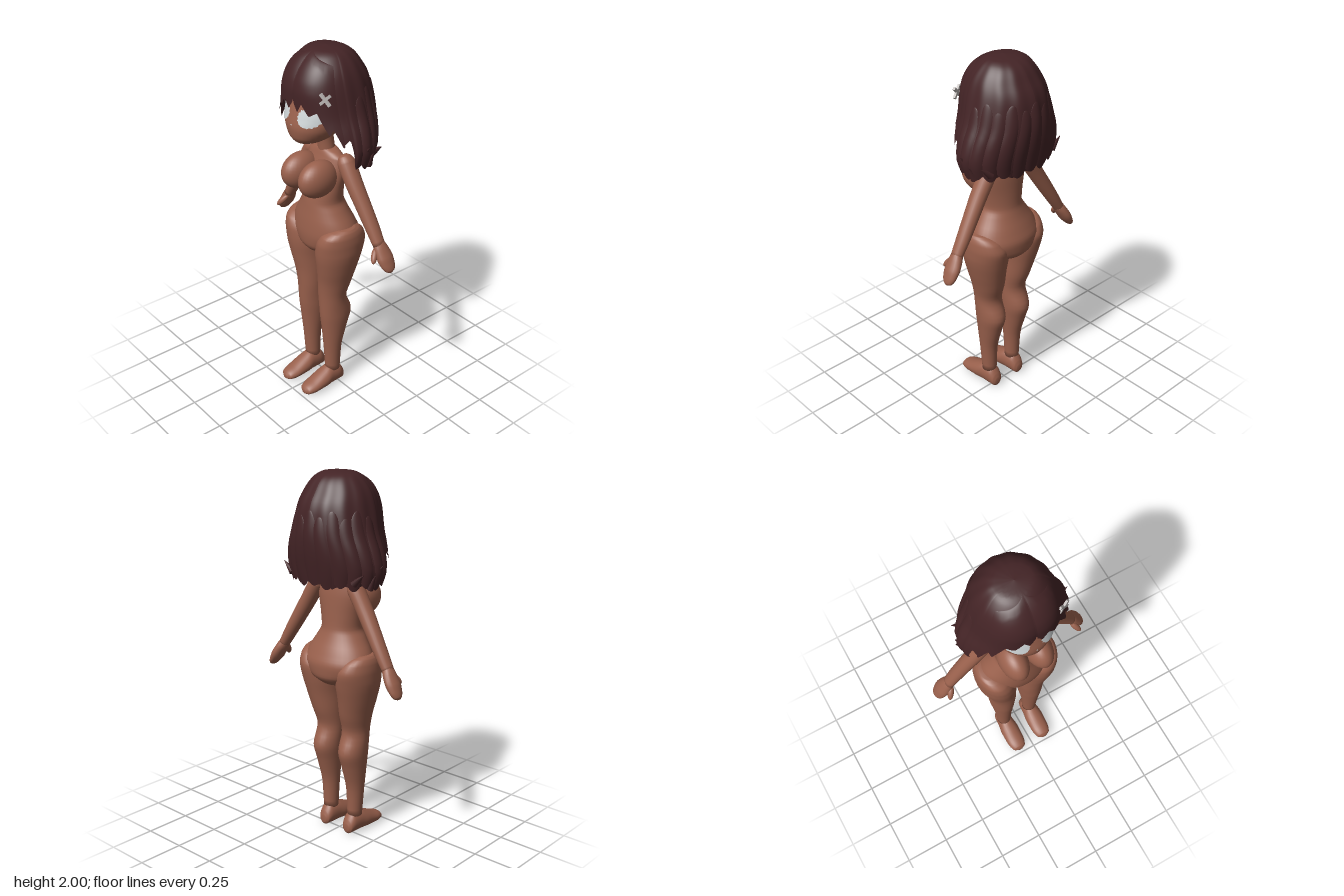
import * as THREE from 'three';

const mat = (name, color, side = THREE.FrontSide) => {
  const m = new THREE.MeshStandardMaterial({ color, side });
  m.name = name;
  return m;
};
const skin = mat('skin', 0x99604c);
const hair = mat('hair', 0x442426, THREE.DoubleSide);
const white = mat('eye white', 0xd0d6d8, THREE.DoubleSide);
const metal = mat('clip grey', 0xb9b4b2);

// Smooth monotone interpolation of descending sections [y, centreX, radiusX, zFront, zBack]
function sample(S, y) {
  let i = 0;
  while (i < S.length - 2 && y < S[i + 1][0]) i++;
  const h = S[i + 1][0] - S[i][0];
  const f = THREE.MathUtils.clamp((y - S[i][0]) / h, 0, 1);
  const slope = (j, k) => (S[j + 1][k] - S[j][k]) / (S[j + 1][0] - S[j][0]);
  const tangent = (j, k) => {
    if (j === 0) return slope(0, k);
    if (j === S.length - 1) return slope(j - 1, k);
    const a = slope(j - 1, k), b = slope(j, k);
    return a * b <= 0 ? 0 : 2 * a * b / (a + b);
  };
  return [0, 1, 2, 3, 4].map(k => k === 0 ? y :
    (1 + 2 * f) * (1 - f) ** 2 * S[i][k] + f * (1 - f) ** 2 * h * tangent(i, k) +
    f * f * (3 - 2 * f) * S[i + 1][k] + f * f * (f - 1) * h * tangent(i + 1, k));
}

function point([y, cx, rx, zf, zb], a, grow = 0) {
  return [cx + (rx + grow) * Math.sin(a), y, (zf + zb) / 2 + ((zf - zb) / 2 + grow) * Math.cos(a)];
}

function build(pos, idx) {
  const g = new THREE.BufferGeometry();
  g.setAttribute('position', new THREE.Float32BufferAttribute(pos, 3));
  g.setIndex(idx);
  g.computeVertexNormals();
  return g;
}

// Closed body from stacked ellipses
function loft(S, n = 28, sub = 4) {
  const ys = [], pos = [], idx = [];
  for (let i = 0; i < S.length - 1; i++)
    for (let k = 0; k < sub; k++) ys.push(S[i][0] + (S[i + 1][0] - S[i][0]) * k / sub);
  ys.push(S[S.length - 1][0]);
  ys.forEach((y, i) => {
    const s = sample(S, y);
    for (let j = 0; j < n; j++) {
      pos.push(...point(s, j / n * Math.PI * 2));
      if (i === ys.length - 1) continue;
      const a = i * n + j, b = i * n + (j + 1) % n;
      idx.push(a, a + n, b + n, a, b + n, b);
    }
  });
  const top = ys.length * n, last = top - n;
  for (const s of [S[0], S[S.length - 1]]) pos.push(s[1], s[0], (s[3] + s[4]) / 2);
  for (let j = 0; j < n; j++) {
    const k = (j + 1) % n;
    idx.push(top, j, k, top + 1, last + k, last + j);
  }
  return build(pos, idx);
}

const HAIR = [
  [2.0, 0, 0, 0, 0], [1.99, 0, .09, .075, -.08], [1.96, 0, .135, .125, -.135],
  [1.9, 0, .178, .175, -.18], [1.85, 0, .198, .198, -.21], [1.8, 0, .212, .207, -.225],
  [1.7, 0, .237, .205, -.235], [1.6, 0, .275, .2, -.226], [1.52, 0, .29, .19, -.21],
  [1.45, 0, .272, .17, -.195], [1.4, 0, .25, .15, -.18]];

// Sheet on the hair surface between two angles (degrees), from topY(angle) to hemY(angle)
function hairSheet(a0, a1, topY, hemY, grow, cols, rows = 24) {
  const pos = [], idx = [], w = cols + 1;
  for (let i = 0; i <= rows; i++) for (let j = 0; j <= cols; j++) {
    const d = a0 + (a1 - a0) * j / cols, v = i / rows;
    const y = topY(d) + (hemY(d) - topY(d)) * v * v;
    pos.push(...point(sample(HAIR, y), d * Math.PI / 180, grow(d, v)));
    if (i < rows && j < cols) {
      const a = i * w + j;
      idx.push(a, a + w, a + w + 1, a, a + w + 1, a + 1);
    }
  }
  return build(pos, idx);
}

// Piecewise hem height over the angle from the front
const HEM = [[0, 1.77], [8, 1.72], [16, 1.77], [25, 1.715], [36, 1.74], [46, 1.63], [52, 1.66],
  [60, 1.57], [70, 1.6], [76, 1.43], [180, 1.425]];
function hem(d) {
  const a = Math.min(Math.abs(d), 179.99);
  const i = HEM.findIndex(p => p[0] > a) - 1;
  const [p, q] = [HEM[i], HEM[i + 1]];
  const y = p[1] + (q[1] - p[1]) * (a - p[0]) / (q[0] - p[0]);
  return a > 76 ? y + .02 * Math.abs(Math.sin(a * Math.PI / 26)) : y;
}

const HEAD = [
  [1.96, 0, .03, .03, -.03], [1.93, 0, .11, .1, -.1], [1.85, 0, .165, .165, -.14],
  [1.75, 0, .178, .188, -.15], [1.68, 0, .17, .207, -.12], [1.62, 0, .15, .22, -.08],
  [1.57, 0, .115, .213, -.04], [1.535, 0, .07, .19, .01], [1.515, 0, .025, .14, .06]];
const faceZ = (x, y) => {
  const [, , rx, zf, zb] = sample(HEAD, y);
  return (zf + zb) / 2 + (zf - zb) / 2 * Math.sqrt(Math.max(0, 1 - (x / rx) ** 2));
};

// Thin disc that follows the face
function faceDisc(x0, y0, rx, ry, lift, jag = 0) {
  const g = new THREE.RingGeometry(.001, 1, 32, 5), p = g.attributes.position;
  for (let i = 0; i < p.count; i++) {
    const k = 1 + jag * (i % 2) * Math.hypot(p.getX(i), p.getY(i));
    const x = x0 + p.getX(i) * rx * k, y = y0 + p.getY(i) * ry * k;
    p.setXYZ(i, x, y, faceZ(x, y) + lift);
  }
  g.computeVertexNormals();
  return g;
}

export function createModel() {
  const model = new THREE.Group();
  const add = (name, geo, material = skin, parent = model) => {
    const m = new THREE.Mesh(geo, material);
    m.name = name;
    parent.add(m);
    return m;
  };
  const ball = () => new THREE.SphereGeometry(1, 28, 20);

  // Head, neck and torso
  add('head', loft(HEAD, 40));
  add('neck', loft([[1.57, 0, .045, .06, -.03], [1.5, 0, .043, .045, -.038], [1.42, 0, .05, .04, -.05]]));
  add('torso', loft([
    [1.46, 0, .045, .035, -.045], [1.445, 0, .09, .042, -.052], [1.42, 0, .125, .05, -.06],
    [1.35, 0, .135, .075, -.07], [1.25, 0, .123, .11, -.075], [1.18, 0, .116, .125, -.08],
    [1.13, 0, .142, .132, -.095], [1.05, 0, .192, .143, -.13], [.99, 0, .212, .147, -.15],
    [.93, 0, .18, .142, -.145], [.88, 0, .09, .11, -.1], [.855, 0, .02, .04, -.03]], 40));

  for (const s of [1, -1]) {
    const side = s > 0 ? 'left' : 'right';
    const chest = add(side + 'Chest', ball());
    chest.scale.set(.073, .1, .118);
    chest.position.set(s * .07, 1.33, .11);

    // Leg and foot
    const leg = add(side + 'Leg', loft([
      [1.055, .175, .035, .06, -.04], [1.04, .163, .06, .105, -.08], [1.01, .147, .085, .14, -.115],
      [.96, .131, .104, .152, -.135], [.9, .122, .11, .15, -.125], [.8, .112, .098, .135, -.1],
      [.7, .098, .085, .118, -.075], [.6, .09, .074, .11, -.047], [.49, .091, .072, .105, -.085],
      [.4, .091, .063, .095, -.06], [.25, .09, .048, .08, -.022], [.1, .088, .04, .07, -.015]]));
    leg.position.x = s > 0 ? 0 : -.2;
    // Mirrored parts keep their winding because each section is symmetric
    if (s < 0) {
      const p = leg.geometry.attributes.position;
      const old = Array.from(p.array), n = 28;
      leg.position.x = 0;
      for (let i = 0; i < p.count; i++) {
        const row = Math.floor(i / n) * n;
        const src = i >= p.count - 2 ? i : row + (n - (i - row)) % n;
        p.setXYZ(i, -old[src * 3], old[src * 3 + 1], old[src * 3 + 2]);
      }
      leg.geometry.computeVertexNormals();
    }
    const foot = loft([
      [.235, 0, .015, -.012, -.035], [.22, 0, .04, -.004, -.053], [.17, 0, .053, 0, -.073],
      [.1, 0, .055, 0, -.105], [.05, 0, .048, 0, -.124], [0, 0, .044, 0, -.12],
      [-.03, 0, .035, 0, -.085], [-.042, 0, .018, -.015, -.055]]);
    foot.rotateX(Math.PI / 2);
    add(side + 'Foot', foot).position.x = s * .086;

    // Arm with mitten hand and thumb
    const arm = new THREE.Group();
    arm.name = side + 'ArmGroup';
    arm.position.set(s * .135, 1.4, 0);
    arm.rotation.z = s * .557;
    model.add(arm);
    add(side + 'Arm', loft([
      [.05, 0, .012, -.005, -.04], [.035, 0, .034, .015, -.058], [0, 0, .045, .026, -.073],
      [-.1, 0, .043, .022, -.072], [-.25, 0, .039, .008, -.076], [-.36, 0, .034, -.002, -.079],
      [-.45, 0, .028, -.01, -.077]], 24), skin, arm);
    add(side + 'Hand', loft([
      [-.43, 0, .028, -.014, -.074], [-.47, 0, .03, -.006, -.09], [-.52, 0, .03, -.004, -.1],
      [-.56, 0, .024, -.012, -.097], [-.59, 0, .016, -.028, -.085], [-.602, 0, .006, -.045, -.065]], 20), skin, arm);
    const thumb = add(side + 'Thumb', ball(), skin, arm);
    thumb.scale.set(.017, .045, .017);
    thumb.position.set(-s * .012, -.49, -.002);
    thumb.rotation.x = -.6;

    // Eye with a jagged pale rim
    add(side + 'EyeRim', faceDisc(s * .087, 1.687, .052, .045, .004, .12), white);
    add(side + 'Eye', faceDisc(s * .085, 1.682, .046, .041, .008), white);

    // Swept fringe, one half on each side of the parting
    add(side + 'Fringe', hairSheet(s > 0 ? 1 : -62, s > 0 ? 62 : -1,
      d => 1.992 - Math.abs(d) * .0008, d => hem(d) - .008,
      (d, v) => .002 + .012 * Math.sin(Math.PI * Math.min(1, Math.abs(d) / 62)) * Math.min(1, v * 3), 60), hair);

    // Flicked tips at the sides
    [[.283, 1.52, -.02, .7], [.275, 1.47, -.06, .5], [.245, 1.49, -.13, .9]].forEach(([x, y, z, r]) => {
      const tip = add(side + 'HairFlick', new THREE.ConeGeometry(.022, .085, 8), hair);
      tip.position.set(s * x, y, z);
      tip.rotation.z = -s * r;
    });
  }
  add('nose', faceDisc(0, 1.638, .004, .004, .004), white);

  // Main hair shell, then raised tapering locks around the back
  add('hairShell', hairSheet(-180, 180, () => 2, hem,
    (d, v) => Math.abs(d) > 76 ? .004 * v * Math.cos(d * Math.PI / 13) : 0, 240, 30), hair);
  for (let i = -5; i <= 5; i++) {
    const c = 180 + i * 17, low = i % 2 ? 1.42 : 1.435;
    const off = d => Math.abs(d - c) / 11;
    add('backLock', hairSheet(c - 11, c + 11, d => 1.82 - .03 * (i & 1) - .07 * off(d) ** 2,
      d => low + .05 * off(d) ** 2,
      (d, v) => -.004 + .014 * (1 - off(d) ** 2) * Math.min(1, .35 + v), 10, 14), hair);
  }

  // Crossed hair clip
  const clip = new THREE.Group();
  clip.name = 'hairClip';
  clip.position.set(.175, 1.805, .15);
  clip.rotation.y = .35;
  model.add(clip);
  for (const s of [1, -1])
    add('clipBar', new THREE.BoxGeometry(.075, .015, .012), metal, clip).rotation.z = s * Math.PI / 4;

  return model;
}
